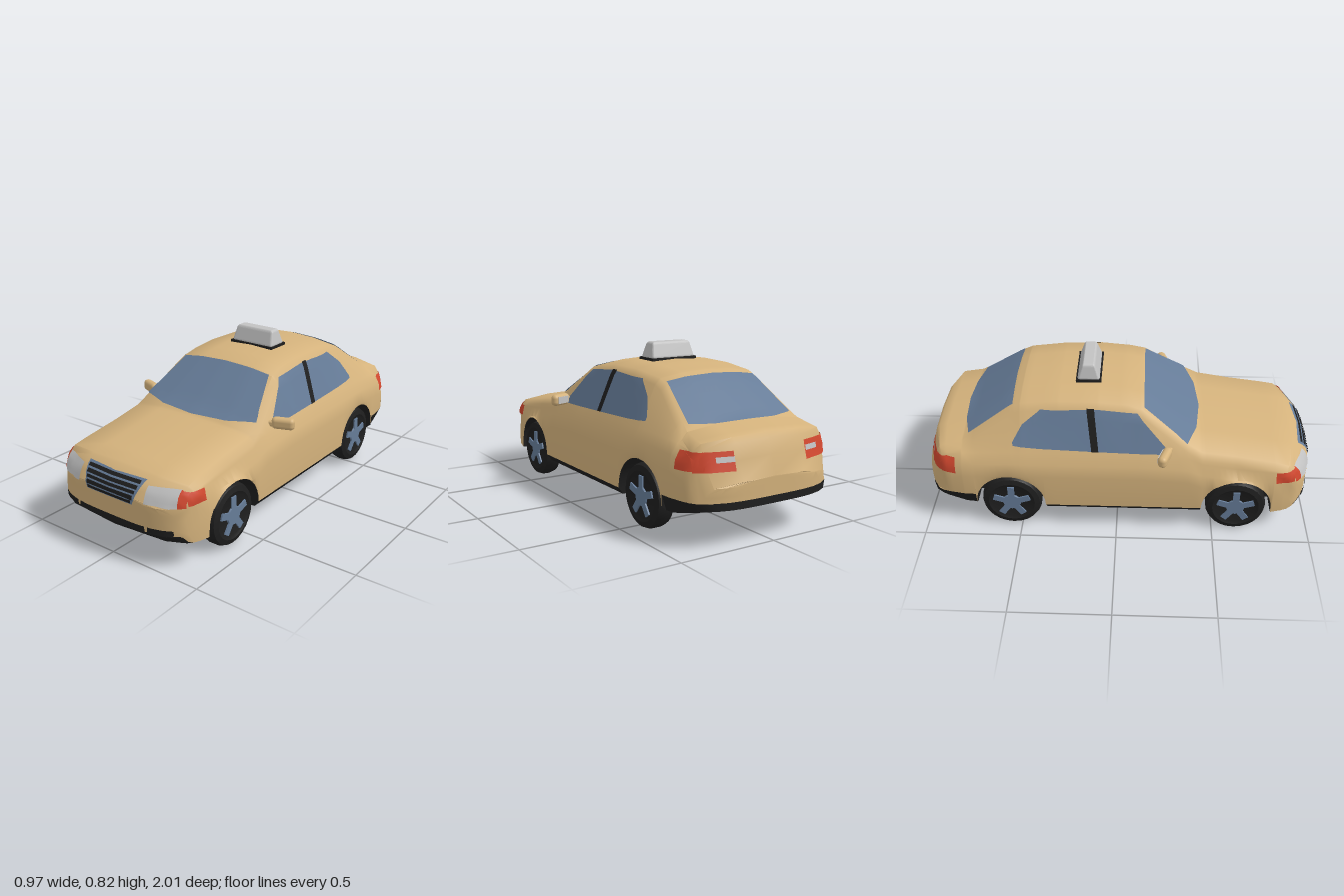
import * as THREE from 'three';
import { toCreasedNormals } from 'three/addons/utils/BufferGeometryUtils.js';
import { RoundedBoxGeometry } from 'three/addons/geometries/RoundedBoxGeometry.js';

const material = (name, color) => {
  const m = new THREE.MeshStandardMaterial({ color, side: THREE.DoubleSide });
  m.name = name;
  return m;
};
const paint = material('tan paint', 0xd4b27c);
const glass = material('blue glass', 0x667c98);
const black = material('black trim', 0x1e1e1e);
const red = material('red lens', 0xd2482f);
const silver = material('light grey', 0xc2c2c2);

const WHEELS = [0.615, -0.545], AXLE_Y = 0.155, ARCH_R = 0.18;

// Body stations: z, top, roof half width, shoulder height, half width, floor height
const KEYS = [
  [1.00, 0.33, 0.31, 0.25, 0.37, 0.17],
  [0.98, 0.37, 0.34, 0.30, 0.385, 0.14],
  [0.95, 0.40, 0.355, 0.335, 0.395, 0.128],
  [0.90, 0.425, 0.36, 0.36, 0.405, 0.125],
  [0.80, 0.44, 0.355, 0.375, 0.415, 0.122],
  [0.60, 0.47, 0.35, 0.39, 0.425, 0.12],
  [0.43, 0.495, 0.355, 0.42, 0.43, 0.12],
  [0.36, 0.535, 0.345, 0.45, 0.43, 0.12],
  [0.13, 0.70, 0.285, 0.465, 0.43, 0.12],
  [0.05, 0.722, 0.275, 0.465, 0.43, 0.12],
  [-0.10, 0.735, 0.275, 0.465, 0.43, 0.12],
  [-0.30, 0.732, 0.27, 0.465, 0.43, 0.12],
  [-0.48, 0.712, 0.265, 0.465, 0.43, 0.12],
  [-0.53, 0.69, 0.265, 0.465, 0.428, 0.12],
  [-0.78, 0.515, 0.32, 0.45, 0.42, 0.137],
  [-0.93, 0.485, 0.335, 0.42, 0.405, 0.16],
  [-0.95, 0.46, 0.335, 0.395, 0.40, 0.163],
  [-0.97, 0.39, 0.33, 0.33, 0.395, 0.167],
  [-1.00, 0.30, 0.31, 0.235, 0.375, 0.175],
];

function station(z) {
  let i = 0;
  while (i < KEYS.length - 2 && KEYS[i + 1][0] > z) i++;
  const f = (KEYS[i][0] - z) / (KEYS[i][0] - KEYS[i + 1][0]);
  return KEYS[i].map((v, k) => v + (KEYS[i + 1][k] - v) * f);
}

// Nose and tail curve back towards the corners
const bowed = (x, z) =>
  z - Math.sign(z) * 0.12 * Math.max(0, (Math.abs(z) - 0.8) / 0.2) * (x / 0.42) ** 4;

// Half cross-section from the floor centre, round the wheel arch, up to the roof centre
function halfSection(z) {
  const [, t, r, sh, w, b] = station(z);
  let a = b;
  for (const c of WHEELS) {
    const d = Math.abs(z - c);
    if (d <= ARCH_R + 1e-6) a = AXLE_Y + Math.sqrt(Math.max(0, ARCH_R ** 2 - d * d));
  }
  const sill = Math.max(a, z > 0.796 ? b + 0.005 : z > -0.7255 ? 0.155 : 0.21);
  return [
    [0, b], [0.29, b], [0.29, a], [w - (a > b ? 0.004 : 0.03), a], [w - 0.004, sill],
    [w, Math.max(sill, sh - 0.12)], [w - 0.012, Math.max(sill, sh - 0.05)],
    [Math.max(w - 0.045, r + 0.035), sh],
    [r + 0.03, t - 0.055], [r, t - 0.025], [r * 0.55, t - 0.007], [0, t],
  ];
}

// Lofts the body; returns painted shell and black underside
function bodyGeometries() {
  const zs = KEYS.map(k => k[0]);
  for (let z = -0.9; z < 0.95; z += 0.1) zs.push(z + 0.013);
  for (const c of WHEELS) {
    for (let i = 0; i <= 16; i++) zs.push(c + ARCH_R * Math.cos((Math.PI * i) / 16));
    zs.push(c + ARCH_R + 0.0015, c - ARCH_R - 0.0015);
  }
  zs.sort((p, q) => q - p);
  const pos = [], painted = [], dark = [];
  const halves = zs.map(halfSection), n = halves[0].length, ring = 2 * n - 2;
  halves.forEach((half, s) => {
    const mirror = half.slice(1, -1).reverse().map(([x, y]) => [-x, y]);
    for (const [x, y] of [...half, ...mirror]) pos.push(x, y, bowed(x, zs[s]));
  });
  for (let s = 0; s < zs.length - 1; s++) for (let i = 0; i < ring; i++) {
    const A = s * ring + i, B = s * ring + ((i + 1) % ring), C = A + ring, D = B + ring;
    (Math.min(i, ring - 1 - i) < 4 ? dark : painted).push(A, C, B, B, C, D);
  }
  // Curved front and rear faces
  const cols = 12;
  for (const s of [0, zs.length - 1]) {
    const base = pos.length / 3;
    for (const [x, y] of halves[s]) for (let k = 0; k <= cols; k++) {
      const px = x * (2 * k / cols - 1);
      pos.push(px, y, bowed(px, zs[s]));
    }
    for (let i = 3; i < n - 1; i++) for (let k = 0; k < cols; k++) {
      const A = base + i * (cols + 1) + k, B = A + 1, C = A + cols + 1, D = C + 1;
      (i < 4 ? dark : painted).push(...(s === 0 ? [A, B, C, B, D, C] : [A, C, B, B, C, D]));
    }
  }
  return [painted, dark].map(index => {
    const g = new THREE.BufferGeometry();
    g.setAttribute('position', new THREE.Float32BufferAttribute(pos, 3));
    g.setIndex(index);
    return toCreasedNormals(g, 0.75);
  });
}

export function createModel() {
  const model = new THREE.Group();
  model.name = 'taxi';
  const add = (name, geo, mat, parent = model) => {
    const m = new THREE.Mesh(geo, mat);
    m.name = name;
    parent.add(m);
    return m;
  };

  const [shellGeo, underGeo] = bodyGeometries();
  const shell = add('bodyShell', shellGeo, paint);
  add('underbody', underGeo, black);

  // Thin plates laid on the body: the area between two outlines, projected along one axis
  const ray = new THREE.Raycaster(), V = (x, y, z) => new THREE.Vector3(x, y, z);
  const views = {
    top: (u, v) => [V(u, 2, v), V(0, -1, 0)],
    front: (u, v) => [V(u, v, 2), V(0, 0, -1)],
    back: (u, v) => [V(u, v, -2), V(0, 0, 1)],
    left: (u, v) => [V(2, v, u), V(-1, 0, 0)],
    right: (u, v) => [V(-2, v, u), V(1, 0, 0)],
  };
  function plate(name, mat, view, lower, upper, lift = 0.005, rows = 8) {
    const cols = (lower.length - 1) * 5, pos = [], index = [];
    const along = (line, c) => {
      const i = Math.min(Math.floor(c / 5), line.length - 2), f = c / 5 - i;
      return [0, 1].map(k => line[i][k] + (line[i + 1][k] - line[i][k]) * f);
    };
    const mid = [0, 1].map(k => [...lower, ...upper].reduce((s, p) => s + p[k], 0) / (2 * lower.length));
    for (let r = 0; r <= rows; r++) for (let c = 0; c <= cols; c++) {
      const p = along(lower, c), q = along(upper, c);
      const uv = [0, 1].map(k => p[k] + (q[k] - p[k]) * r / rows);
      let hit, dir;
      for (let pull = 0; !hit && pull <= 1; pull += 0.05) {
        const [o, d] = views[view](...uv.map((x, k) => x + (mid[k] - x) * pull));
        ray.set(o, dir = d);
        hit = ray.intersectObject(shell)[0];
      }
      if (!hit) return;
      const nrm = hit.face.normal.clone();
      if (nrm.dot(dir) > 0) nrm.negate();
      pos.push(...hit.point.addScaledVector(nrm, lift).toArray());
      if (r < rows && c < cols) {
        const A = r * (cols + 1) + c, C = A + cols + 1;
        index.push(A, A + 1, C, A + 1, C + 1, C);
      }
    }
    const g = new THREE.BufferGeometry();
    g.setAttribute('position', new THREE.Float32BufferAttribute(pos, 3));
    g.setIndex(index);
    g.computeVertexNormals();
    add(name, g, mat);
  }
  const rect = (name, mat, view, u0, u1, v0, v1, lift, rows = 4) =>
    plate(name, mat, view, [[u0, v0], [u1, v0]], [[u0, v1], [u1, v1]], lift, rows);

  // Front and rear screens
  plate('windshield', glass, 'top',
    [[-0.345, 0.35], [-0.2, 0.4], [0, 0.42], [0.2, 0.4], [0.345, 0.35]],
    [[-0.268, 0.13], [-0.14, 0.13], [0, 0.13], [0.14, 0.13], [0.268, 0.13]]);
  plate('rearWindow', glass, 'top',
    [[-0.295, -0.75], [-0.16, -0.785], [0, -0.795], [0.16, -0.785], [0.295, -0.75]],
    [[-0.255, -0.52], [-0.13, -0.523], [0, -0.525], [0.13, -0.523], [0.255, -0.52]]);

  // Grille with dark bars
  plate('grille', glass, 'front', [[-0.14, 0.295], [0, 0.295], [0.14, 0.295]],
    [[-0.178, 0.4], [0, 0.4], [0.178, 0.4]]);
  for (let i = 0; i < 5; i++) {
    const y = 0.301 + i * 0.02, w = 0.135 + i * 0.0065;
    plate('grilleBar', black, 'front', [[-w, y], [0, y], [w, y]], [[-w, y + 0.013], [0, y + 0.013], [w, y + 0.013]], 0.009, 2);
  }
  plate('bumperIntake', black, 'front', [[-0.203, 0.168], [0, 0.165], [0.203, 0.168]],
    [[-0.203, 0.203], [0, 0.203], [0.203, 0.203]]);

  for (const [side, s] of [['left', 1], ['right', -1]]) {
    // Side glass and door pillar
    plate(side + 'SideWindow', glass, side,
      [[0.26, 0.472], [0.1, 0.475], [-0.1, 0.48], [-0.38, 0.488], [-0.47, 0.493], [-0.52, 0.498]],
      [[0.25, 0.5], [0.1, 0.664], [-0.1, 0.683], [-0.38, 0.672], [-0.47, 0.6], [-0.52, 0.515]]);
    plate(side + 'DoorPillar', black, side, [[-0.09, 0.48], [-0.125, 0.48]], [[-0.112, 0.685], [-0.15, 0.685]], 0.009);

    // Lamps and bumper vents
    rect(side + 'Headlight', silver, 'front', s * 0.2, s * 0.345, 0.31, 0.385);
    plate(side + 'FrontIndicator', red, 'front', [[s * 0.345, 0.31], [s * 0.375, 0.312]], [[s * 0.345, 0.385], [s * 0.372, 0.375]]);
    rect(side + 'FrontIndicatorSide', red, side, 0.9, 0.805, 0.318, 0.375);
    rect(side + 'BumperVent', black, 'front', s * 0.218, s * 0.335, 0.17, 0.203);
    rect(side + 'TailLamp', red, 'back', s * 0.2, s * 0.375, 0.34, 0.425);
    rect(side + 'TailLampSide', red, side, -0.93, -0.815, 0.345, 0.425);
    rect(side + 'ReverseLamp', silver, 'back', s * 0.2, s * 0.285, 0.378, 0.402, 0.009);

    // Door mirror
    const mirror = new THREE.Group();
    mirror.name = side + 'Mirror';
    mirror.position.set(s * 0.43, 0.497, 0.24);
    mirror.rotation.y = s * 0.35;
    add('mirrorHousing', new RoundedBoxGeometry(0.115, 0.06, 0.045, 4, 0.021), paint, mirror);
    add('mirrorStem', new RoundedBoxGeometry(0.07, 0.03, 0.03, 2, 0.01), paint, mirror).position.set(-s * 0.055, -0.005, 0);
    add('mirrorGlass', new THREE.BoxGeometry(0.075, 0.036, 0.004), silver, mirror).position.z = -0.023;
    model.add(mirror);

    // Wheels with five-spoke hubs
    for (const z of WHEELS) {
      const wheel = new THREE.Group();
      wheel.name = side + (z > 0 ? 'FrontWheel' : 'RearWheel');
      wheel.position.set(s * 0.365, AXLE_Y, z);
      wheel.rotation.y = s > 0 ? 0 : Math.PI;
      const profile = [[0, -0.05], [0.12, -0.05], [0.148, -0.038], [0.155, -0.012], [0.155, 0.022],
        [0.146, 0.042], [0.12, 0.05], [0.105, 0.042], [0, 0.042]].map(p => new THREE.Vector2(...p));
      const tire = new THREE.LatheGeometry(profile, 24).rotateZ(-Math.PI / 2);
      add('tire', toCreasedNormals(tire, 0.7), black, wheel);
      add('hub', new THREE.CylinderGeometry(0.045, 0.048, 0.008, 20).rotateZ(-Math.PI / 2), glass, wheel).position.x = 0.046;
      for (let i = 0; i < 5; i++) {
        const spoke = new THREE.BoxGeometry(0.008, 0.07, 0.034).translate(0.046, 0.063, 0);
        add('spoke', spoke.rotateX((i * Math.PI * 2) / 5), glass, wheel);
      }
      model.add(wheel);
    }
  }

  // Roof sign, tapering upwards
  const sign = new RoundedBoxGeometry(0.26, 0.085, 0.12, 4, 0.014), p = sign.attributes.position;
  for (let i = 0; i < p.count; i++) {
    const f = p.getY(i) / 0.085 + 0.5;
    p.setX(i, p.getX(i) * (1 - 0.14 * f));
    p.setZ(i, p.getZ(i) * (1 - 0.5 * f));
  }
  sign.computeVertexNormals();
  add('roofSign', sign, silver).position.set(0, 0.778, -0.15);
  add('roofSignBase', new THREE.BoxGeometry(0.266, 0.016, 0.128), black).position.set(0, 0.733, -0.15);
  return model;
}
